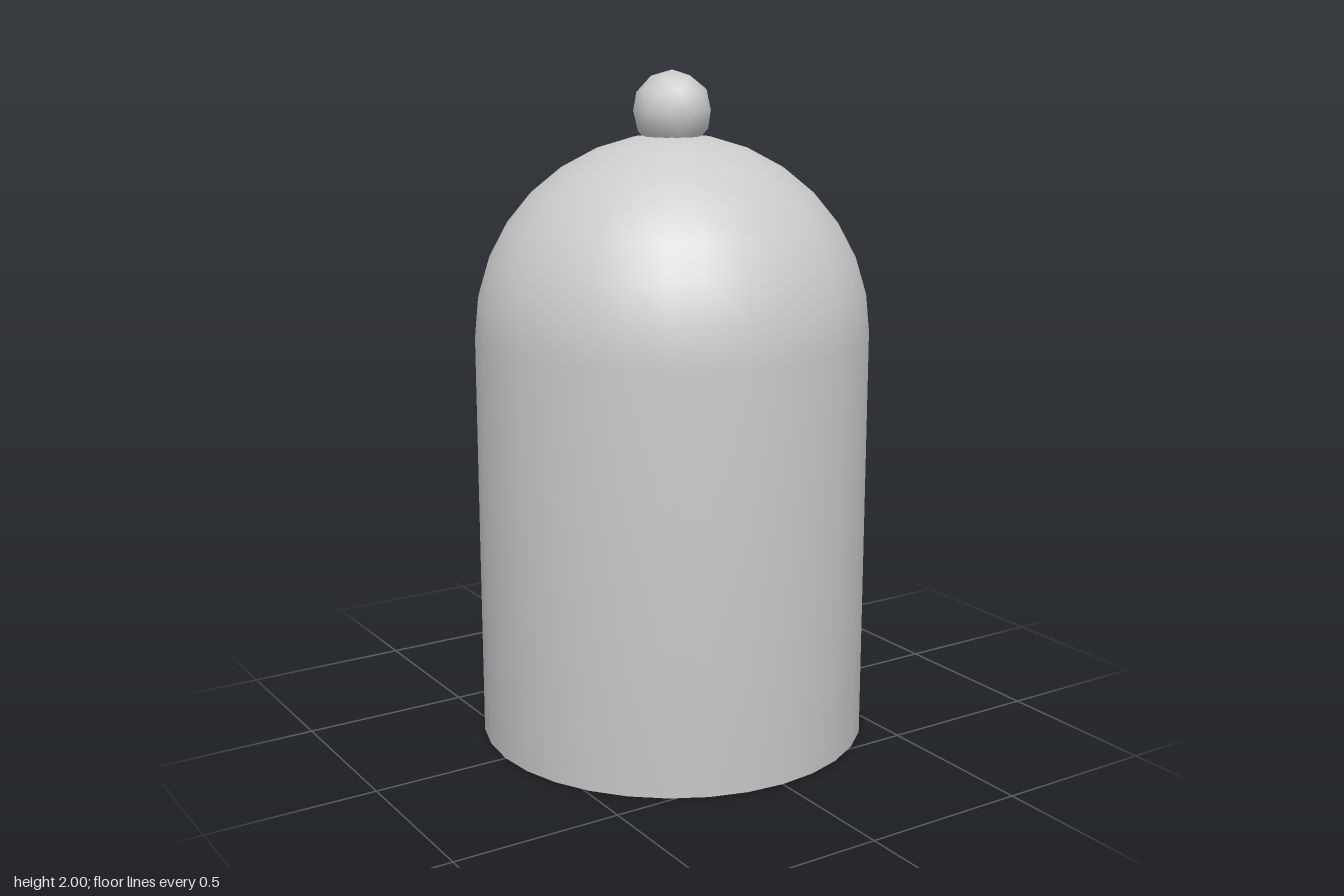
import * as THREE from 'three';

const SEGMENTS = 32;
const OUTER = 0.588;      // outer wall radius
const INNER = 0.495;      // inner wall radius
const SHOULDER = 1.23;    // height where the dome starts

// Straight wall followed by a quarter-circle dome, listed from the base up
function domeProfile(radius) {
  const points = [new THREE.Vector2(radius, 0)];
  for (let i = 0; i <= 8; i++) {
    const a = (i / 8) * Math.PI / 2;
    const r = i === 8 ? 0 : radius * Math.cos(a);
    points.push(new THREE.Vector2(r, SHOULDER + radius * Math.sin(a)));
  }
  return points;
}

export function createModel() {
  const model = new THREE.Group();
  model.name = 'domedCover';
  const material = new THREE.MeshStandardMaterial({ color: 0xcccccc, side: THREE.DoubleSide });

  const add = (name, geometry) => {
    const mesh = new THREE.Mesh(geometry, material);
    mesh.name = name;
    model.add(mesh);
    return mesh;
  };

  // Thick hollow shell: down the inside, across the flat rim, up the outside
  const profile = [...domeProfile(INNER).reverse(), ...domeProfile(OUTER)];
  add('shell', new THREE.LatheGeometry(profile, SEGMENTS));

  // Faceted round knob sunk slightly into the top, one corner pointing straight up
  const knob = add('knob', new THREE.IcosahedronGeometry(0.117, 1));
  knob.rotation.z = -Math.atan(2 / (1 + Math.sqrt(5)));
  knob.position.y = 1.883;

  return model;
}
